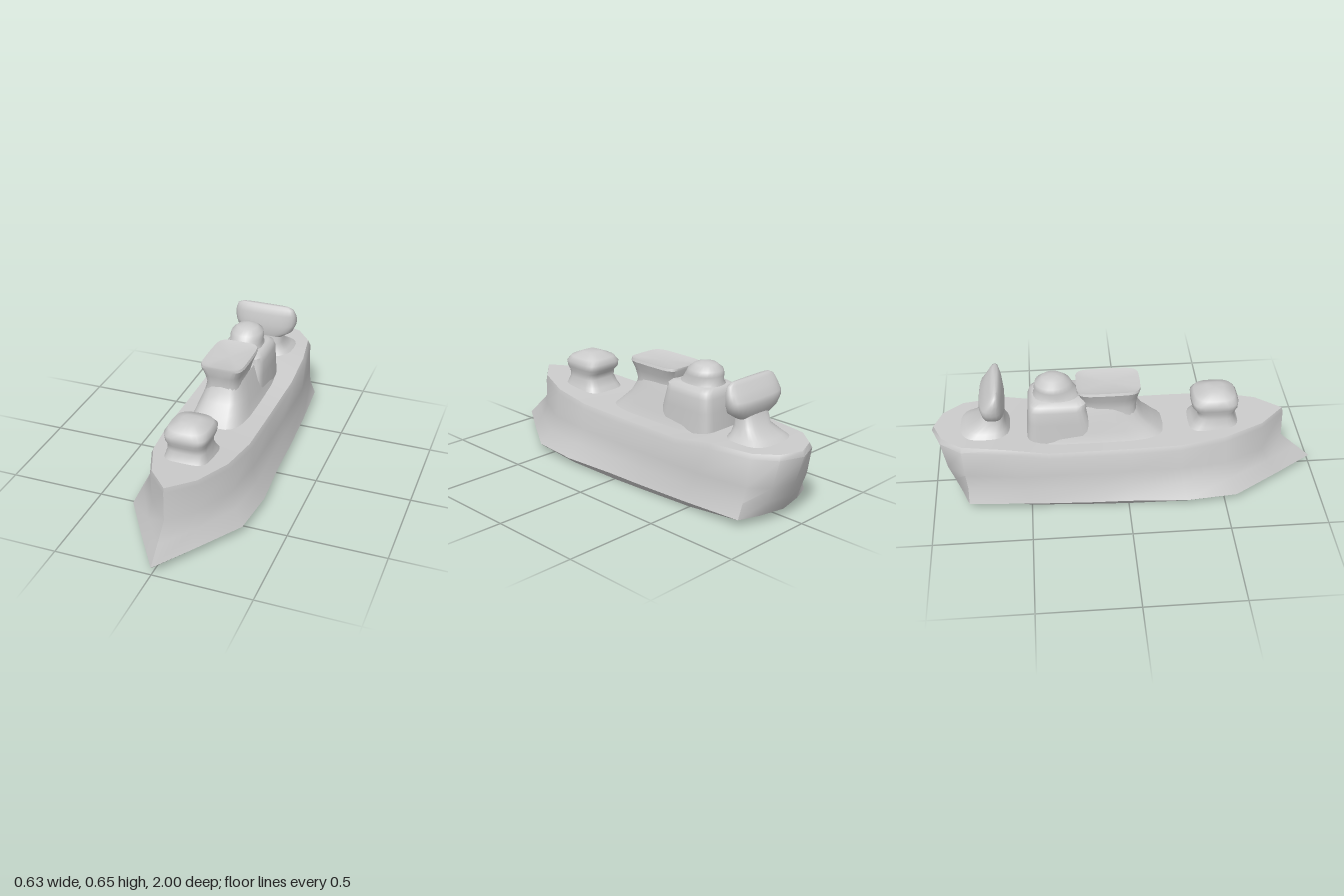
import * as THREE from 'three';
import { toCreasedNormals } from 'three/addons/utils/BufferGeometryUtils.js';

const material = new THREE.MeshStandardMaterial({ color: 0xcccccc, side: THREE.DoubleSide });

// Skins a stack of closed rings (bottom to top, counter-clockwise from above).
function loft(name, rings, crease = 0.7, capped = true) {
  const n = rings[0].length;
  const pos = rings.flat(2);
  const index = [];
  for (let j = 0; j < rings.length - 1; j++) {
    for (let i = 0; i < n; i++) {
      const a = j * n + i, b = j * n + (i + 1) % n;
      index.push(a, b, b + n, a, b + n, a + n);
    }
  }
  if (capped) {
    [0, rings.length - 1].forEach((r, top) => {
      const c = pos.length / 3;
      for (let k = 0; k < 3; k++) pos.push(rings[r].reduce((s, p) => s + p[k], 0) / n);
      for (let i = 0; i < n; i++) {
        const a = r * n + i, b = r * n + (i + 1) % n;
        if (top) index.push(c, a, b);
        else index.push(c, b, a);
      }
    });
  }
  const g = new THREE.BufferGeometry();
  g.setAttribute('position', new THREE.Float32BufferAttribute(pos, 3));
  g.setIndex(index);
  const mesh = new THREE.Mesh(toCreasedNormals(g, crease), material);
  mesh.name = name;
  return mesh;
}

// Rounded rectangular ring: height, half width, back and front z, squareness.
function ring([y, w, z0, z1, sq = 4], cx) {
  const pts = [];
  for (let i = 0; i < 24; i++) {
    const a = (i / 24) * Math.PI * 2;
    const p = (v) => Math.sign(v) * Math.pow(Math.abs(v), 2 / sq);
    pts.push([cx + p(Math.sin(a)) * w, y, (z0 + z1) / 2 + p(Math.cos(a)) * (z1 - z0) / 2]);
  }
  return pts;
}

const block = (name, rows, cx, crease) => loft(name, rows.map((r) => ring(r, cx)), crease);

// Deck height along the ship: raised stern, low waist, rising bow.
function sheer(z) {
  if (z > 0.25) return 0.333 + (z - 0.25) * 0.075;
  return 0.33 + 0.037 * THREE.MathUtils.smoothstep(-z, 0.45, 0.6);
}

// Waterlines from bow to stern as [z, half width].
const waterlines = [
  { y: (z) => 0.004 + 0.03 * Math.max(0, z),
    line: [[0.98, 0], [0.8, 0.11], [0.55, 0.26], [0.3, 0.28], [0, 0.265], [-0.2, 0.255], [-0.5, 0.235], [-0.7, 0.19], [-0.78, 0.1], [-0.82, 0]] },
  { y: () => 0.045,
    line: [[1, 0], [0.8, 0.135], [0.56, 0.29], [0.3, 0.315], [0, 0.295], [-0.2, 0.29], [-0.5, 0.275], [-0.82, 0.25], [-0.86, 0.14], [-0.89, 0]] },
  { y: () => 0.12,
    line: [[0.92, 0], [0.75, 0.12], [0.53, 0.245], [0.29, 0.268], [0, 0.262], [-0.2, 0.262], [-0.52, 0.255], [-0.82, 0.22], [-0.89, 0.13], [-0.92, 0]] },
  { y: () => 0.2,
    line: [[0.835, 0], [0.71, 0.115], [0.51, 0.215], [0.27, 0.243], [0, 0.246], [-0.2, 0.248], [-0.55, 0.247], [-0.83, 0.21], [-0.92, 0.13], [-0.95, 0]] },
  { y: (z) => sheer(z) - 0.025,
    line: [[0.832, 0], [0.7, 0.122], [0.5, 0.205], [0.27, 0.235], [0, 0.238], [-0.4, 0.24], [-0.62, 0.24], [-0.84, 0.205], [-0.95, 0.12], [-0.995, 0]] },
  { y: sheer,
    line: [[0.825, 0], [0.7, 0.115], [0.5, 0.195], [0.27, 0.224], [0, 0.226], [-0.4, 0.23], [-0.62, 0.228], [-0.84, 0.19], [-0.94, 0.11], [-0.985, 0]] },
];

function hull() {
  const build = ({ y, line }, k = 1) => [
    ...line.map(([z, w]) => [w * k, y(z), z]),
    ...line.slice(1, -1).reverse().map(([z, w]) => [-w * k, y(z), z]),
  ];
  // The first and last rings collapse onto the centre line to close keel and deck.
  const rings = [build(waterlines[0], 0), ...waterlines.map((w) => build(w)), build(waterlines.at(-1), 0)];
  return loft('hull', rings, 0.75, false);
}

export function createModel() {
  const group = new THREE.Group();
  group.add(hull());

  // Forward gun house on a waisted base
  group.add(block('forwardTurret', [
    [0.32, 0.13, 0.31, 0.61], [0.36, 0.112, 0.345, 0.58], [0.4, 0.1, 0.37, 0.56],
    [0.43, 0.1, 0.365, 0.565], [0.455, 0.11, 0.342, 0.578], [0.485, 0.115, 0.34, 0.58],
    [0.512, 0.1, 0.355, 0.565, 3], [0.535, 0.045, 0.42, 0.51, 3],
  ], -0.01, 1));

  // Deckhouse sweeping up into the bridge tower
  group.add(block('deckhouse', [
    [0.31, 0.16, -0.52, 0.23], [0.34, 0.145, -0.505, 0.185],
    [0.38, 0.133, -0.5, 0.14], [0.42, 0.12, -0.49, 0.095], [0.47, 0.105, -0.48, 0.065],
    [0.51, 0.09, -0.46, 0.05],
  ], -0.012, 1));

  // Bridge flaring to a shallow hollowed top
  group.add(block('bridge', [
    [0.45, 0.1, -0.22, 0.06], [0.5, 0.09, -0.22, 0.055], [0.55, 0.102, -0.23, 0.065],
    [0.595, 0.118, -0.25, 0.075, 5], [0.608, 0.113, -0.25, 0.075, 5], [0.6, 0.085, -0.22, 0.05, 5],
  ], -0.015, 0.6));

  // Aft block with the round director above
  group.add(block('aftTower', [
    [0.32, 0.14, -0.51, -0.15, 6], [0.44, 0.133, -0.5, -0.18, 6], [0.51, 0.13, -0.495, -0.2, 6],
    [0.54, 0.12, -0.485, -0.2, 6], [0.555, 0.1, -0.47, -0.21, 4],
  ], -0.012, 0.8));
  group.add(block('director', [
    [0.54, 0.1, -0.475, -0.22, 2.5], [0.57, 0.085, -0.46, -0.24, 2], [0.6, 0.09, -0.46, -0.262, 2],
    [0.625, 0.083, -0.455, -0.275, 2], [0.65, 0.055, -0.42, -0.31, 2], [0.658, 0.02, -0.39, -0.34, 2],
  ], -0.015, 1));

  // Broad upright aft screen on a swept pedestal
  group.add(block('sternPedestal', [
    [0.35, 0.16, -0.87, -0.585, 3], [0.385, 0.12, -0.82, -0.605, 3],
    [0.425, 0.09, -0.75, -0.615, 3], [0.5, 0.09, -0.72, -0.62, 3],
  ], 0, 1));
  group.add(block('sternScreen', [
    [0.465, 0.1, -0.715, -0.62, 3], [0.5, 0.155, -0.73, -0.612, 3], [0.54, 0.172, -0.74, -0.612, 3],
    [0.565, 0.175, -0.735, -0.615, 3], [0.6, 0.173, -0.705, -0.62, 3],
    [0.635, 0.16, -0.68, -0.63, 3], [0.648, 0.135, -0.665, -0.64, 3],
  ], -0.01, 1));

  return group;
}
